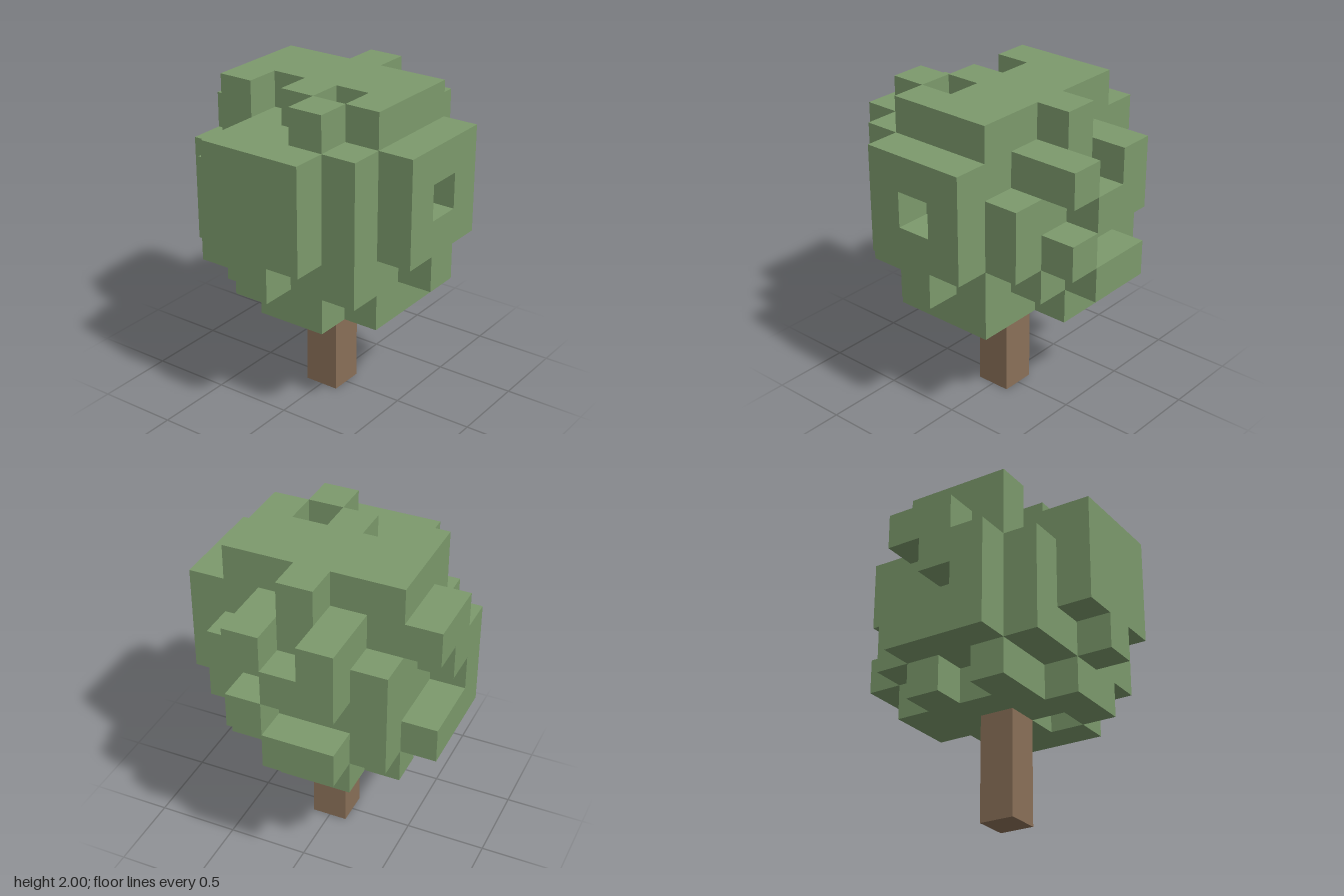
import * as THREE from 'three';
import { mergeGeometries } from 'three/addons/utils/BufferGeometryUtils.js';

const V = 2 / 9; // edge of one cube

// Crown layers from bottom to top; rows run back to front, columns from -x to +x
const LAYERS = [
  ['.......', '..##...', '.#####.', '..####.', '.###.#.', '...##..', '.......'],
  ['..##...', '.####..', '######.', '#######', '######.', '.#####.', '...#...'],
  ['....#..', '.#####.', '.######', '.######', '#######', '.#####.', '..###..'],
  ['..##...', '.#####.', '.######', '######.', '#######', '.#####.', '..###..'],
  ['..#.#..', '..###..', '#######', '#######', '.######', '..####.', '..###..'],
  ['.......', '...#...', '.#####.', '.#####.', '.#.#.#.', '....#..', '.......'],
];
const BASE = 3; // the crown starts three cubes above the ground

const filled = (x, y, z) => LAYERS[y]?.[z]?.[x] === '#';

// One square per cube side: direction and rotation that turns +z towards it
const SIDES = [
  { d: [0, 0, 1], r: [0, 0] },
  { d: [0, 0, -1], r: [0, Math.PI] },
  { d: [1, 0, 0], r: [0, Math.PI / 2] },
  { d: [-1, 0, 0], r: [0, -Math.PI / 2] },
  { d: [0, 1, 0], r: [-Math.PI / 2, 0] },
  { d: [0, -1, 0], r: [Math.PI / 2, 0] },
];

// Skin of the cube crown: only sides without a neighbour
function crownGeometry() {
  const faces = [];
  LAYERS.forEach((rows, y) => rows.forEach((row, z) => [...row].forEach((c, x) => {
    if (c !== '#') return;
    for (const { d, r } of SIDES) {
      if (filled(x + d[0], y + d[1], z + d[2])) continue;
      const face = new THREE.PlaneGeometry(V, V);
      face.rotateX(r[0]).rotateY(r[1]);
      face.translate(
        (x - 3 + d[0] / 2) * V,
        (y + BASE + 0.5 + d[1] / 2) * V,
        (z - 3 + d[2] / 2) * V,
      );
      faces.push(face);
    }
  })));
  return mergeGeometries(faces);
}

export function createModel() {
  const group = new THREE.Group();
  group.name = 'tree';

  const crown = new THREE.Mesh(
    crownGeometry(),
    new THREE.MeshStandardMaterial({ color: 0x7c9a6c }),
  );
  crown.name = 'crown';

  // Square trunk reaching up to the crown
  const trunk = new THREE.Mesh(
    new THREE.BoxGeometry(V, BASE * V, V),
    new THREE.MeshStandardMaterial({ color: 0x8a7058 }),
  );
  trunk.name = 'trunk';
  trunk.position.y = BASE * V / 2;

  group.add(crown, trunk);
  return group;
}
